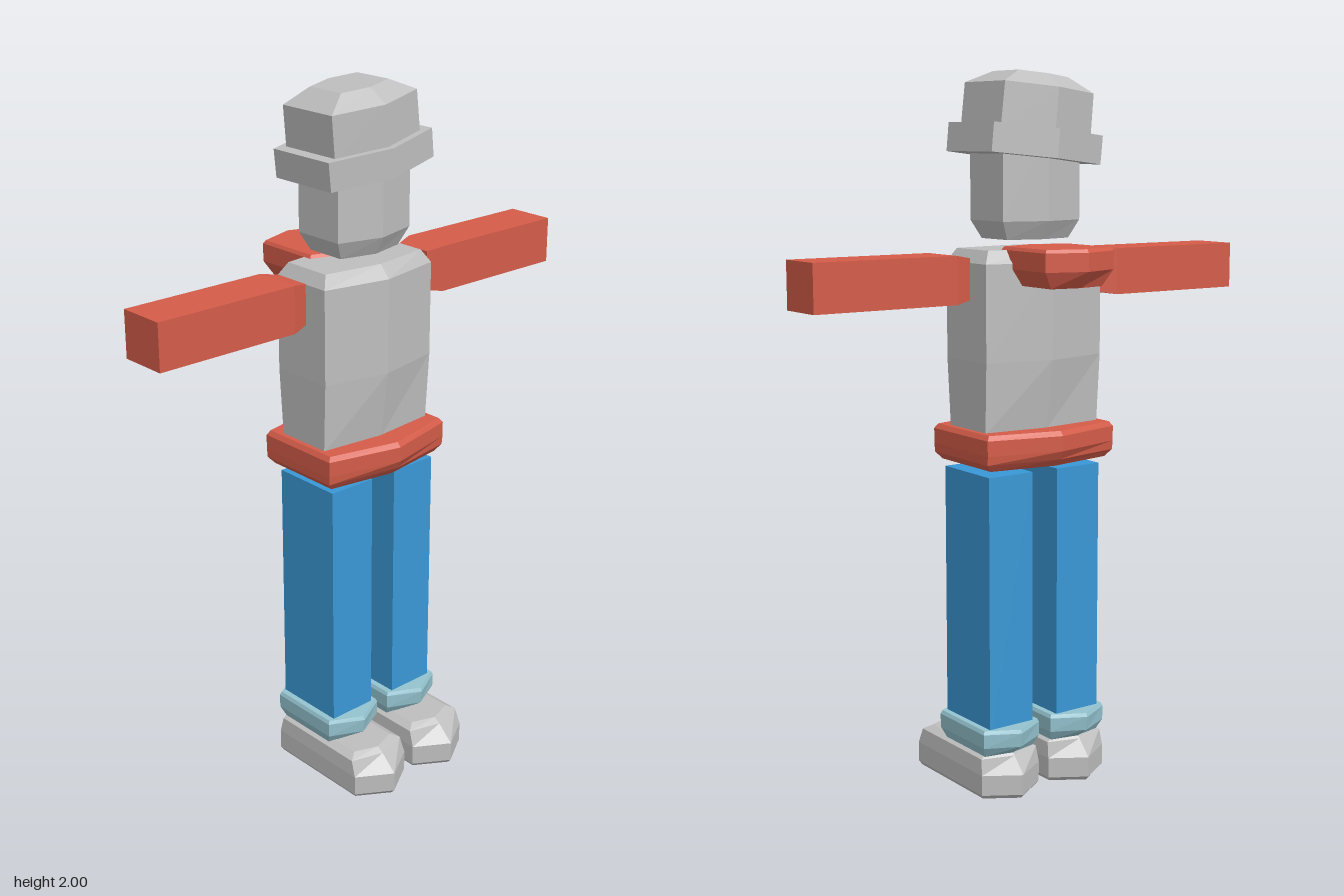
import * as THREE from 'three';

const paint = (name, color) => {
  const m = new THREE.MeshStandardMaterial({ color, flatShading: true });
  m.name = name;
  return m;
};

// Plan outlines at height y, counter-clockwise seen from above
const hex = (y, cx, tip, side, zs) =>
  [[tip, 0], [side, -zs], [-side, -zs], [-tip, 0], [-side, zs], [side, zs]]
    .map(([x, z]) => new THREE.Vector3(cx + x, y, z));
const rect = (y, hx, hz) =>
  [[hx, hz], [hx, -hz], [-hx, -hz], [-hx, hz]].map(([x, z]) => new THREE.Vector3(x, y, z));

// Closed faceted solid through rings listed from bottom to top
function loft(rings) {
  const pos = [];
  const tri = (a, b, c) => [a, b, c].forEach((p) => pos.push(p.x, p.y, p.z));
  const n = rings[0].length;
  for (let r = 0; r < rings.length - 1; r++) {
    for (let i = 0; i < n; i++) {
      const j = (i + 1) % n, lo = rings[r], hi = rings[r + 1];
      tri(lo[i], lo[j], hi[j]);
      tri(lo[i], hi[j], hi[i]);
    }
  }
  const bottom = rings[0], top = rings[rings.length - 1];
  for (let i = 1; i < n - 1; i++) {
    tri(top[0], top[i], top[i + 1]);
    tri(bottom[0], bottom[i + 1], bottom[i]);
  }
  const g = new THREE.BufferGeometry();
  g.setAttribute('position', new THREE.Float32BufferAttribute(pos, 3));
  g.computeVertexNormals();
  return g;
}

export function createModel() {
  const gray = paint('gray', 0xbebebe);
  const red = paint('red', 0xd45c49);
  const blue = paint('blue', 0x3a98d6);
  const paleBlue = paint('paleBlue', 0x94c3cf);

  const model = new THREE.Group();
  model.name = 'figure';
  const add = (name, material, rings, parent = model) => {
    const mesh = new THREE.Mesh(loft(rings), material);
    mesh.name = name;
    parent.add(mesh);
    return mesh;
  };

  // Torso, belt and the hood lying behind the shoulders
  add('torso', gray, [
    hex(1.03, 0, 0.105, 0.085, 0.19), hex(1.225, 0, 0.133, 0.095, 0.193),
    hex(1.49, 0, 0.133, 0.095, 0.193), hex(1.525, 0, 0.1, 0.075, 0.172),
  ]).position.z = -0.003;
  add('belt', red, [
    hex(0.935, 0, 0.15, 0.118, 0.195), hex(0.955, 0, 0.168, 0.13, 0.213),
    hex(0.98, 0, 0.183, 0.132, 0.214), hex(1.022, 0, 0.183, 0.132, 0.214),
    hex(1.035, 0, 0.172, 0.125, 0.205),
  ]).position.z = -0.004;
  add('hood', red, [
    hex(1.43, -0.158, 0.1, 0.085, 0.085), hex(1.475, -0.158, 0.137, 0.1, 0.113),
    hex(1.525, -0.158, 0.137, 0.1, 0.113), hex(1.534, -0.158, 0.13, 0.095, 0.107),
  ]).position.z = -0.007;

  // Arms stretched out to both sides, tapered at the shoulder
  for (const s of [1, -1]) {
    const arm = add(s > 0 ? 'rightArm' : 'leftArm', red, [
      rect(0.22, 0.055, 0.056), rect(0.27, 0.07, 0.065), rect(0.7, 0.07, 0.065),
    ]);
    arm.position.y = 1.45;
    arm.rotation.x = s * Math.PI / 2;
  }

  // Legs with cuffs and shoes; the toes point to +x
  for (const s of [1, -1]) {
    const leg = new THREE.Group();
    leg.name = s > 0 ? 'rightLeg' : 'leftLeg';
    leg.position.z = s * 0.115 - 0.0075;
    model.add(leg);
    add('trouserLeg', blue, [rect(0.15, 0.108, 0.073), rect(0.915, 0.108, 0.073)], leg)
      .position.x = 0.003;
    add('cuff', paleBlue, [
      hex(0.12, 0.004, 0.115, 0.095, 0.082), hex(0.15, 0.004, 0.155, 0.11, 0.094),
      hex(0.19, 0.004, 0.16, 0.11, 0.095), hex(0.2, 0.004, 0.155, 0.107, 0.09),
    ], leg);
    add('shoe', gray, [
      hex(0, 0.064, 0.215, 0.158, 0.09), hex(0.012, 0.064, 0.226, 0.165, 0.098),
      hex(0.07, 0.064, 0.226, 0.165, 0.098), hex(0.115, 0.06, 0.18, 0.152, 0.094),
      hex(0.128, 0.055, 0.165, 0.14, 0.07),
    ], leg);
  }

  // Head
  add('head', gray, [
    hex(1.55, 0, 0.085, 0.06, 0.103), hex(1.6, 0, 0.112, 0.078, 0.128),
    hex(1.83, 0, 0.112, 0.078, 0.128),
  ]);

  // Hat, tipped sideways
  const hat = new THREE.Group();
  hat.name = 'hat';
  hat.position.set(0, 1.807, 0);
  hat.rotation.x = 0.1;
  model.add(hat);
  add('brim', gray, [
    hex(-0.04, 0, 0.155, 0.108, 0.182), hex(0.038, 0, 0.155, 0.108, 0.182),
  ], hat);
  add('crown', gray, [
    hex(0.03, 0, 0.135, 0.095, 0.15), hex(0.148, 0, 0.135, 0.095, 0.148),
    hex(0.185, 0, 0.08, 0.06, 0.082),
  ], hat);

  return model;
}
